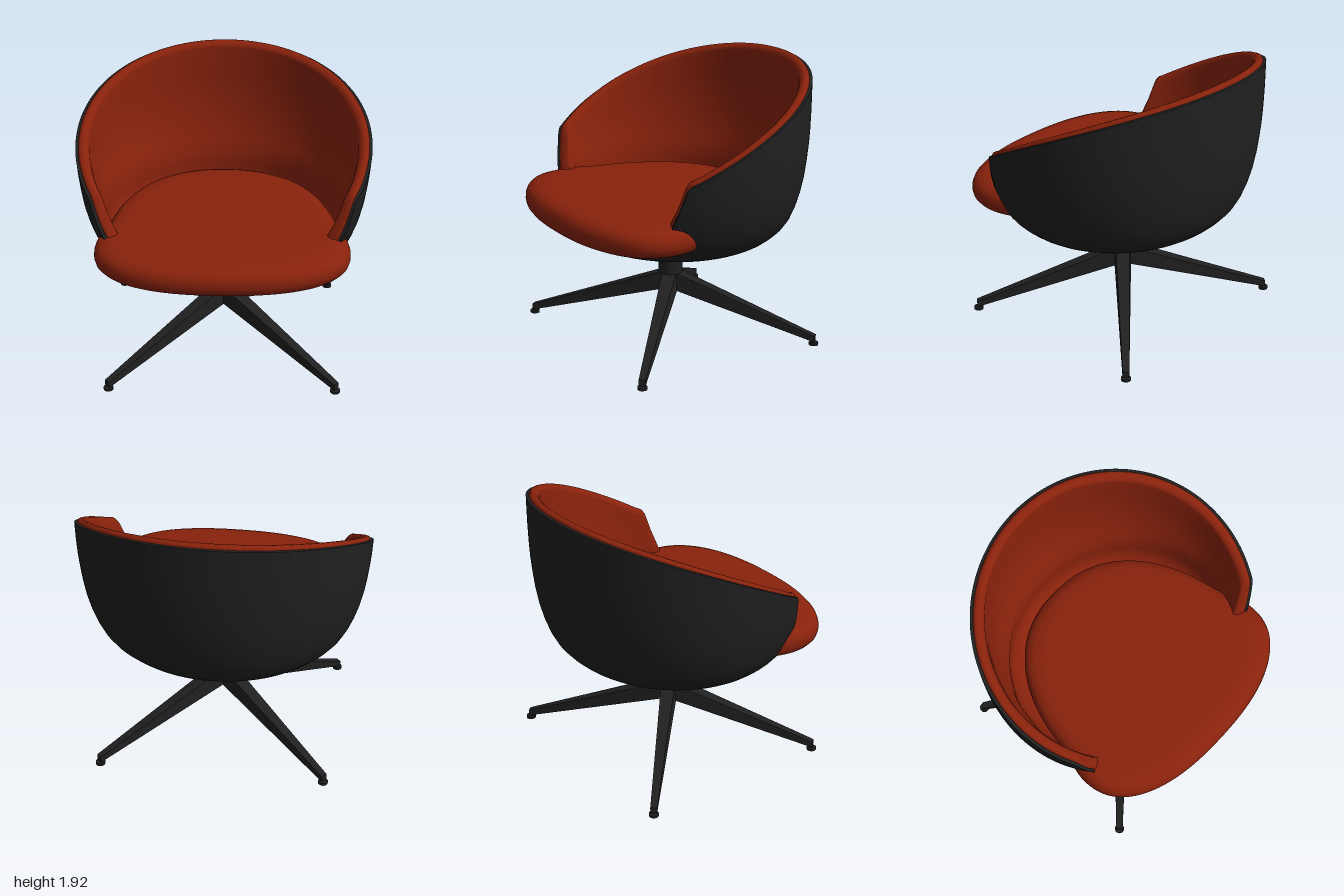
import * as THREE from 'three';
import { toCreasedNormals } from 'three/addons/utils/BufferGeometryUtils.js';

const COLS = 240;

// Linear lookup in a short table of [key, value] pairs
function lookup(table, x) {
  if (x <= table[0][0]) return table[0][1];
  for (let i = 1; i < table.length; i++) {
    const [x1, y1] = table[i];
    const [x0, y0] = table[i - 1];
    if (x <= x1) return y0 + ((y1 - y0) * (x - x0)) / (x1 - x0);
  }
  return table[table.length - 1][1];
}

// Closed loft around y: section(phi) returns points ordered from the bottom outwards
function loft(section) {
  const pos = [], idx = [];
  let n = 0;
  for (let c = 0; c < COLS; c++) {
    const pts = section((c / COLS) * Math.PI * 2);
    n = pts.length;
    pts.forEach((p) => pos.push(...p));
  }
  for (let c = 0; c < COLS; c++) {
    const d = (c + 1) % COLS;
    for (let i = 0; i < n - 1; i++) {
      const a = c * n + i, b = d * n + i;
      idx.push(a, b, b + 1, a, b + 1, a + 1);
    }
  }
  const g = new THREE.BufferGeometry();
  g.setAttribute('position', new THREE.Float32BufferAttribute(pos, 3));
  g.setIndex(idx);
  g.computeVertexNormals();
  return g;
}

// Bowl profile: radius against height
const profile = new THREE.SplineCurve([
  [0, 0.7], [0.25, 0.7], [0.42, 0.701], [0.5, 0.703], [0.6, 0.714], [0.69, 0.745], [0.78, 0.8],
  [0.87, 0.9], [0.943, 1.1], [0.982, 1.35], [0.997, 1.6], [1, 1.97],
].map(([s, y]) => new THREE.Vector2(s, y)));

// Rim height by angle from the front (degrees): low lip, steep arm edge, then a rising sweep
const frontRim = [[0, 0.717], [25, 0.718], [35, 0.74], [42, 0.775], [50, 0.85], [54, 0.93],
  [57, 1.05], [60, 1.16], [63, 1.3], [64.5, 1.33], [66, 1.342]];
function rimHeight(phi) {
  const deg = THREE.MathUtils.radToDeg(Math.min(phi, Math.PI * 2 - phi));
  if (deg < 66) return lookup(frontRim, deg);
  const z = 0.91 * Math.cos(phi);
  return 1.535 - 0.495 * z - 0.1 * z * z;
}

// Curve parameter at which the profile reaches a height
function paramAt(y) {
  let lo = 0.2, hi = 1;
  for (let i = 0; i < 30; i++) {
    const m = (lo + hi) / 2;
    if (profile.getPoint(m).y < y) lo = m; else hi = m;
  }
  return lo;
}

// Point on the bowl, moved inwards by inset and along the profile by extend
function bowlPoint(phi, u, inset, extend = 0) {
  const p = profile.getPoint(u), t = profile.getTangent(u);
  const s = Math.max(0.005, p.x - t.y * inset + t.x * extend);
  return [s * Math.sin(phi), p.y + t.x * inset + t.y * extend, 0.92 * s * Math.cos(phi)];
}

// Padding thickness: by height, with extra lumbar depth towards the back
function padDepth(y, phi) {
  const base = lookup([[0.7, 0.035], [0.8, 0.05], [1.05, 0.095], [1.3, 0.085], [1.9, 0.1]], y);
  const lumbar = lookup([[0.8, 0], [1.05, 1], [1.6, 0]], y);
  return base + 0.06 * lumbar * (1 - Math.cos(phi)) / 2;
}

function shellSection(phi) {
  const U = paramAt(rimHeight(phi)), N = 24, pts = [];
  for (let i = 0; i <= N; i++) pts.push(bowlPoint(phi, 0.01 + (U - 0.01) * (i / N), 0));
  for (let i = N; i >= 0; i -= 4) pts.push(bowlPoint(phi, 0.01 + (U - 0.01) * (i / N), 0.022));
  return pts;
}

function paddingSection(phi) {
  const h = rimHeight(phi), U = paramAt(h), d = padDepth(h, phi), N = 22, pts = [];
  // rolled rim, set back from the low front lip
  const setBack = lookup([[0.717, 0.1], [0.8, 0.02], [0.95, 0]], h);
  const roll = lookup([[0.75, 0.4], [1.05, 1]], h);
  [[0.2, -0.02], [0.22, 0.004], [0.32, 0.016], [0.5, 0.021], [0.7, 0.016], [0.88, 0], [0.97, -0.02]]
    .forEach(([o, e]) => pts.push(bowlPoint(phi, U, o * d, e * roll - setBack)));
  // inner wall and floor
  const top = U * lookup([[0.717, 0.74], [0.8, 0.89], [0.95, 0.95]], h);
  for (let i = N; i >= 0; i--) {
    const u = 0.01 + (top - 0.01) * (i / N);
    pts.push(bowlPoint(phi, u, padDepth(profile.getPoint(u).y, phi)));
  }
  return pts;
}

// Cushion: rounded outline, narrowing where it slides between the arms, with a puffed edge
const cushionRings = [[0.001, 0.86], [0.5, 0.855], [0.85, 0.855], [0.92, 0.864], [0.965, 0.882],
  [0.99, 0.908], [1, 0.94], [0.998, 0.975], [0.985, 1.005], [0.955, 1.033], [0.9, 1.051],
  [0.8, 1.061], [0.5, 1.067], [0.001, 1.068]];
function cushionSection(phi) {
  const sn = Math.sin(phi), cs = Math.cos(phi), front = cs > 0;
  const e = 2 / (front ? 2.35 : 2.25);
  const z = 0.45 + (front ? 0.465 : 1.085) * Math.sign(cs) * Math.abs(cs) ** e;
  const narrow = 1 - 0.065 * (1 - THREE.MathUtils.smoothstep(z, 0.15, 0.45));
  const x = 0.847 * narrow * Math.sign(sn) * Math.abs(sn) ** e;
  return cushionRings.map(([k, y]) => [x * k, y, 0.15 + (z - 0.15) * k]);
}

// Tapered leg along +x, from the hub to the foot
function legGeometry() {
  const g = new THREE.BoxGeometry(1, 1, 1);
  const p = g.attributes.position;
  for (let i = 0; i < p.count; i++) {
    const end = p.getX(i) > 0, up = p.getY(i) > 0;
    const w = end ? 0.045 : up ? 0.1 : 0.12;
    const y = end ? (up ? 0.068 : 0.025) : (up ? 0.455 : 0.325);
    p.setXYZ(i, end ? 1.04 : 0, y, Math.sign(p.getZ(i)) * w / 2);
  }
  const flat = g.toNonIndexed();
  flat.computeVertexNormals();
  return flat;
}

export function createModel() {
  const group = new THREE.Group();
  const red = new THREE.MeshStandardMaterial({ color: 0x89220c });
  red.name = 'rust red upholstery';
  const black = new THREE.MeshStandardMaterial({ color: 0x202020 });
  black.name = 'charcoal black';

  function add(name, geometry, material, parent = group) {
    const m = new THREE.Mesh(geometry, material);
    m.name = name;
    parent.add(m);
    return m;
  }

  // Seat
  add('outerShell', toCreasedNormals(loft(shellSection), 0.8), black);
  add('innerPadding', loft(paddingSection), red);
  add('seatCushion', loft(cushionSection), red);

  // Thin trim ring under the shell
  const ring = add('undersideRing', new THREE.RingGeometry(0.432, 0.45, 72), red);
  ring.rotation.x = Math.PI / 2;
  ring.position.y = 0.696;

  // Pedestal
  const column = add('column', new THREE.CylinderGeometry(0.083, 0.083, 0.29, 32), black);
  column.position.y = 0.575;

  // Four splayed legs with feet
  const legGeo = legGeometry();
  const footGeo = new THREE.CylinderGeometry(0.033, 0.033, 0.018, 20);
  const stemGeo = new THREE.CylinderGeometry(0.014, 0.014, 0.03, 12);
  for (const sx of [1, -1]) for (const sz of [1, -1]) {
    const leg = new THREE.Group();
    leg.name = (sz > 0 ? 'front' : 'back') + (sx > 0 ? 'Left' : 'Right') + 'Leg';
    leg.rotation.y = -Math.atan2(0.685 * sz, 0.77 * sx);
    add('legBeam', legGeo, black, leg);
    add('footPad', footGeo, black, leg).position.set(1.03, 0.009, 0);
    add('footStem', stemGeo, black, leg).position.set(1.02, 0.025, 0);
    group.add(leg);
  }
  return group;
}
